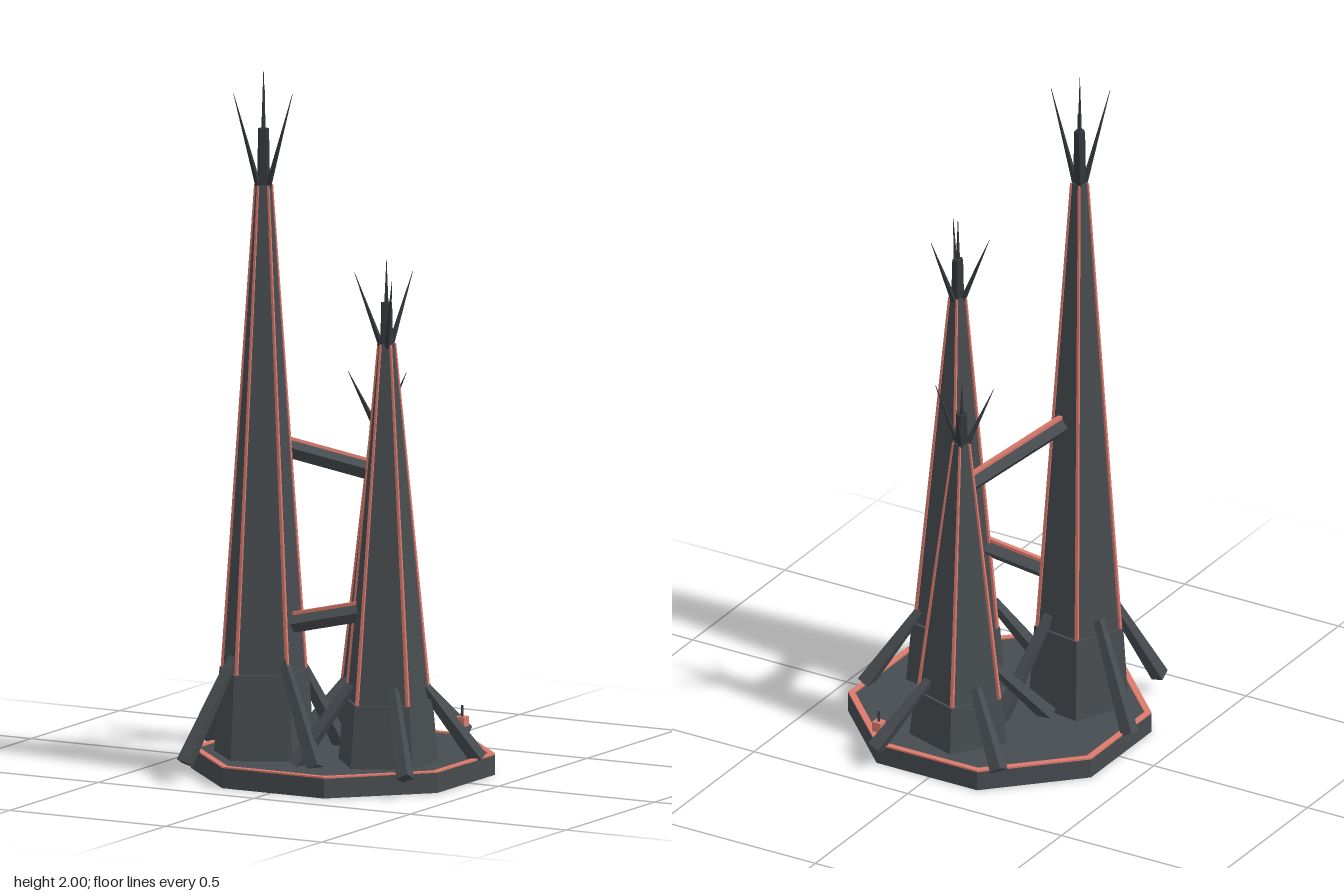
import * as THREE from 'three';

const material = (name, color) => {
  const m = new THREE.MeshStandardMaterial({ color, flatShading: true });
  m.name = name;
  return m;
};
const V = (x, y, z) => new THREE.Vector3(x, y, z);
const rad = (deg) => deg * Math.PI / 180;
const UP = V(0, 1, 0);

export function createModel() {
  const model = new THREE.Group();
  model.name = 'tripleSpire';
  const iron = material('dark iron', 0x474c50);
  const dark = material('blackened iron', 0x33383b);
  const red = material('ember red', 0xdc7a6c);

  const add = (parent, name, geometry, mat) => {
    const mesh = new THREE.Mesh(geometry, mat);
    mesh.name = name;
    parent.add(mesh);
    return mesh;
  };

  // Upright prism or frustum between two heights
  const frustum = (parent, name, mat, r0, r1, y0, y1, sides) => {
    const mesh = add(parent, name, new THREE.CylinderGeometry(r1, r0, y1 - y0, sides), mat);
    mesh.position.y = (y0 + y1) / 2;
    return mesh;
  };

  // Tapered bar from point a to point b
  const bar = (parent, name, mat, a, b, r0, r1, sides = 4) => {
    const geometry = new THREE.CylinderGeometry(r1, r0, a.distanceTo(b), sides);
    if (sides === 4) geometry.rotateY(Math.PI / 4);
    const mesh = add(parent, name, geometry, mat);
    mesh.position.copy(a).lerp(b, 0.5);
    mesh.quaternion.setFromUnitVectors(UP, b.clone().sub(a).normalize());
    return mesh;
  };

  // Octagonal base with a red rim on its top edge
  const base = new THREE.Group();
  base.name = 'base';
  base.position.set(0.008, 0, 0.012);
  base.rotation.y = Math.PI / 8;
  model.add(base);
  frustum(base, 'baseSlab', iron, 0.4275, 0.4275, 0, 0.057, 8);
  const octagon = (r) => Array.from({ length: 8 }, (_, i) =>
    new THREE.Vector2(r * Math.cos(i * Math.PI / 4), r * Math.sin(i * Math.PI / 4)));
  const rimShape = new THREE.Shape(octagon(0.4275));
  rimShape.holes.push(new THREE.Path(octagon(0.408).reverse()));
  const rim = new THREE.ExtrudeGeometry(rimShape, { depth: 0.005, bevelEnabled: false });
  rim.rotateX(-Math.PI / 2);
  add(base, 'baseRim', rim, red).position.y = 0.056;

  // Towers: turn sets the first corner, spike sets the first crown spike
  const FLOOR = 0.057;
  const towers = [
    { x: -0.165, z: 0.157, top: 1.83, turn: 27, spike: 2 },
    { x: 0.197, z: 0.1, top: 1.36, turn: -41, spike: 51 },
    { x: 0.01, z: -0.19, top: 1.05, turn: 36, spike: 8 },
  ];
  const polar = (deg, r, y) => V(r * Math.cos(rad(deg)), y, r * Math.sin(rad(deg)));

  for (const t of towers) {
    const tower = new THREE.Group();
    tower.name = 'tower';
    tower.position.set(t.x, 0, t.z);
    model.add(tower);

    const h = t.top - FLOOR;
    const yPlinth = FLOOR + 0.135 * h;
    const yNeck = FLOOR + 0.91 * h;
    const turned = Math.PI / 2 - rad(t.turn);
    frustum(tower, 'plinth', iron, 0.147, 0.131, FLOOR, yPlinth, 5).rotation.y = turned;
    frustum(tower, 'shaft', iron, 0.121, 0.024, yPlinth, yNeck, 5).rotation.y = turned;
    frustum(tower, 'neck', dark, 0.019, 0.016, yNeck, t.top, 5).rotation.y = turned;
    frustum(tower, 'needle', dark, 0.006, 0.0005, t.top, t.top + 0.094 * h, 5);

    // Red ribs on the shaft corners
    for (let i = 0; i < 5; i++) {
      const a = t.turn + i * 72;
      bar(tower, 'rib', red, polar(a, 0.121, yPlinth), polar(a, 0.024, yNeck), 0.0065, 0.004);
    }
    // Crown spikes
    for (let i = 0; i < 3; i++) {
      const a = t.spike + i * 120;
      bar(tower, 'crownSpike', dark, polar(a, 0.014, yNeck - 0.01),
        polar(a, 0.095, t.top + 0.06 * h), 0.009, 0.0006);
    }
    // Leaning buttresses
    for (let i = 0; i < 4; i++) {
      const a = t.turn + i * 90;
      bar(tower, 'buttress', iron, polar(a, 0.263, 0.057),
        polar(a, 0.1, yPlinth + 0.045), 0.026, 0.016);
    }
  }

  // Bridges: ridge-up square beams with a red strip along the ridge
  const bridge = (i, j, yi, yj) => {
    const a = V(towers[i].x, yi, towers[i].z);
    const b = V(towers[j].x, yj, towers[j].z);
    // trimmed so the ends stay inside the shafts
    const dir = b.clone().sub(a).normalize();
    a.addScaledVector(dir, 0.03);
    b.addScaledVector(dir, -0.03);
    const length = a.distanceTo(b);
    const group = new THREE.Group();
    group.name = 'bridge';
    group.position.copy(a).lerp(b, 0.5);
    group.lookAt(b);
    const beam = new THREE.CylinderGeometry(0.028, 0.028, length, 4);
    add(group, 'bridgeBeam', beam.rotateX(Math.PI / 2), iron);
    const strip = add(group, 'bridgeStrip', new THREE.BoxGeometry(0.014, 0.009, length), red);
    strip.position.y = 0.026;
    model.add(group);
  };
  bridge(0, 2, 0.945, 0.815);
  bridge(1, 2, 0.63, 0.725);
  bridge(0, 1, 0.415, 0.495);

  // Small lamp near the back edge
  const lamp = new THREE.Group();
  lamp.name = 'lamp';
  lamp.position.set(0.183, 0, -0.352);
  model.add(lamp);
  frustum(lamp, 'lampPost', dark, 0.006, 0.004, 0.05, 0.145, 4);
  add(lamp, 'lampBox', new THREE.BoxGeometry(0.028, 0.028, 0.028), red).position.y = 0.1;

  return model;
}
